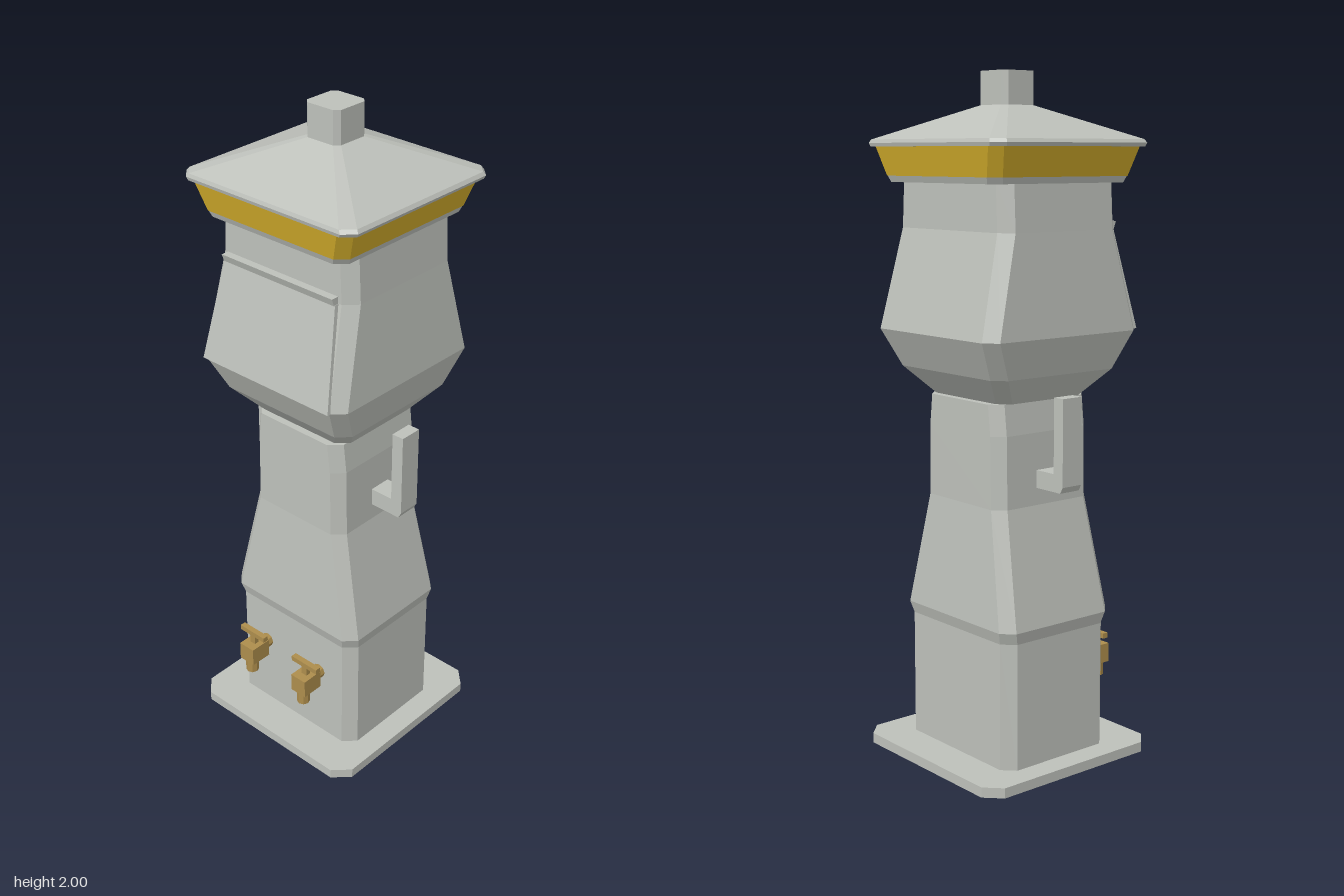
import * as THREE from 'three';

const grey = new THREE.MeshStandardMaterial({ color: 0xbdc0ba });
grey.name = 'paleGrey';
const yellow = new THREE.MeshStandardMaterial({ color: 0xd4ae2c });
yellow.name = 'goldYellow';
const brass = new THREE.MeshStandardMaterial({ color: 0xad8d4c });
brass.name = 'brass';

// Faceted loft through chamfered rectangles, each [y, halfX, halfZ, chamfer], bottom to top
function loft(sections) {
  const rings = sections.map(([y, x, z, c]) => [
    [x, z - c], [x - c, z], [c - x, z], [-x, z - c],
    [-x, c - z], [c - x, -z], [x - c, -z], [x, c - z],
  ].map(([px, pz]) => [px, y, pz]));
  const pos = [];
  const tri = (...pts) => pts.forEach((p) => pos.push(...p));
  for (let s = 0; s < rings.length - 1; s++) {
    for (let i = 0; i < 8; i++) {
      const j = (i + 1) % 8;
      const [lo, hi] = [rings[s], rings[s + 1]];
      tri(lo[i], hi[i], hi[j]);
      tri(lo[i], hi[j], lo[j]);
    }
  }
  const bottom = rings[0], top = rings[rings.length - 1];
  for (let i = 1; i < 7; i++) {
    tri(bottom[0], bottom[i], bottom[i + 1]);
    tri(top[0], top[i + 1], top[i]);
  }
  const geo = new THREE.BufferGeometry();
  geo.setAttribute('position', new THREE.Float32BufferAttribute(pos, 3));
  geo.computeVertexNormals();
  return geo;
}

function add(parent, name, geo, material, x = 0, y = 0, z = 0) {
  const mesh = new THREE.Mesh(geo, material);
  mesh.name = name;
  mesh.position.set(x, y, z);
  parent.add(mesh);
  return mesh;
}

// Box whose upper edge is narrowed and pushed along z
function slantedBox(w, h, d, topScale, topShift) {
  const geo = new THREE.BoxGeometry(w, h, d).toNonIndexed();
  const p = geo.attributes.position;
  for (let i = 0; i < p.count; i++) {
    if (p.getY(i) > 0) p.setXYZ(i, p.getX(i) * topScale, p.getY(i), p.getZ(i) + topShift);
  }
  geo.computeVertexNormals();
  return geo;
}

function makeTap() {
  const tap = new THREE.Group();
  tap.name = 'tap';
  const pipe = new THREE.CylinderGeometry(0.022, 0.022, 0.05, 8).toNonIndexed();
  pipe.computeVertexNormals();
  pipe.rotateX(Math.PI / 2);
  add(tap, 'tapPipe', pipe, brass, 0, 0.265, 0.205);
  add(tap, 'tapBody', new THREE.BoxGeometry(0.056, 0.058, 0.07), brass, 0, 0.262, 0.255);
  const spout = new THREE.CylinderGeometry(0.02, 0.02, 0.045, 8).toNonIndexed();
  spout.computeVertexNormals();
  add(tap, 'tapSpout', spout, brass, 0, 0.213, 0.267);
  add(tap, 'tapStem', new THREE.BoxGeometry(0.02, 0.04, 0.016), brass, 0, 0.305, 0.255);
  add(tap, 'tapHandle', new THREE.BoxGeometry(0.1, 0.016, 0.018), brass, 0, 0.327, 0.255);
  return tap;
}

export function createModel() {
  const model = new THREE.Group();
  model.name = 'hydrantPillar';

  // Foot and waisted column
  add(model, 'basePlate', loft([[0, 0.31, 0.312, 0.047], [0.03, 0.31, 0.312, 0.047]]), grey);
  add(model, 'column', loft([
    [0.03, 0.238, 0.195, 0.035],
    [0.405, 0.238, 0.195, 0.035],
    [0.44, 0.246, 0.205, 0.035],
    [0.78, 0.175, 0.177, 0.033],
    [0.99, 0.172, 0.177, 0.033],
    [1.08, 0.162, 0.177, 0.033],
  ]), grey);

  // Swelling head
  add(model, 'head', loft([
    [1.08, 0.17, 0.155, 0.033],
    [1.16, 0.238, 0.228, 0.035],
    [1.27, 0.27, 0.283, 0.035],
    [1.56, 0.25, 0.213, 0.035],
    [1.695, 0.243, 0.212, 0.035],
  ]), grey);

  // Sloping front flap with a lip along its top
  add(model, 'frontPanel', slantedBox(0.474, 0.29, 0.016, 0.86, -0.066), grey, 0, 1.415, 0.284);
  add(model, 'panelLip', slantedBox(0.406, 0.022, 0.03, 1, 0.008), grey, 0, 1.569, 0.214);

  // Cornice, yellow band, roof and chimney
  add(model, 'cornice', loft([[1.69, 0.248, 0.25, 0.03], [1.71, 0.256, 0.258, 0.03]]), grey);
  add(model, 'yellowBand', loft([[1.708, 0.257, 0.258, 0.03], [1.795, 0.287, 0.278, 0.03]]), yellow);
  add(model, 'roof', loft([
    [1.79, 0.302, 0.284, 0.032],
    [1.8, 0.307, 0.287, 0.032],
    [1.81, 0.3, 0.283, 0.032],
    [1.905, 0.06, 0.06, 0.015],
  ]), grey);
  add(model, 'chimney', loft([[1.9, 0.06, 0.06, 0.015], [2, 0.06, 0.06, 0.015]]), grey);

  // L-shaped side hooks
  const outline = [
    [0.16, 0.83], [0.275, 0.83], [0.285, 0.848], [0.285, 1.1],
    [0.247, 1.1], [0.247, 0.882], [0.16, 0.882],
  ];
  const hook = new THREE.ExtrudeGeometry(
    new THREE.Shape(outline.map(([x, y]) => new THREE.Vector2(x, y))),
    { depth: 0.07, bevelEnabled: false },
  );
  hook.translate(0, 0, -0.035);
  add(model, 'leftHook', hook, grey);
  add(model, 'rightHook', hook, grey).rotation.y = Math.PI;

  // Pair of taps on the front
  for (const side of [-1, 1]) {
    const tap = makeTap();
    tap.name = side > 0 ? 'leftTap' : 'rightTap';
    tap.position.x = side * 0.11;
    model.add(tap);
  }
  return model;
}
